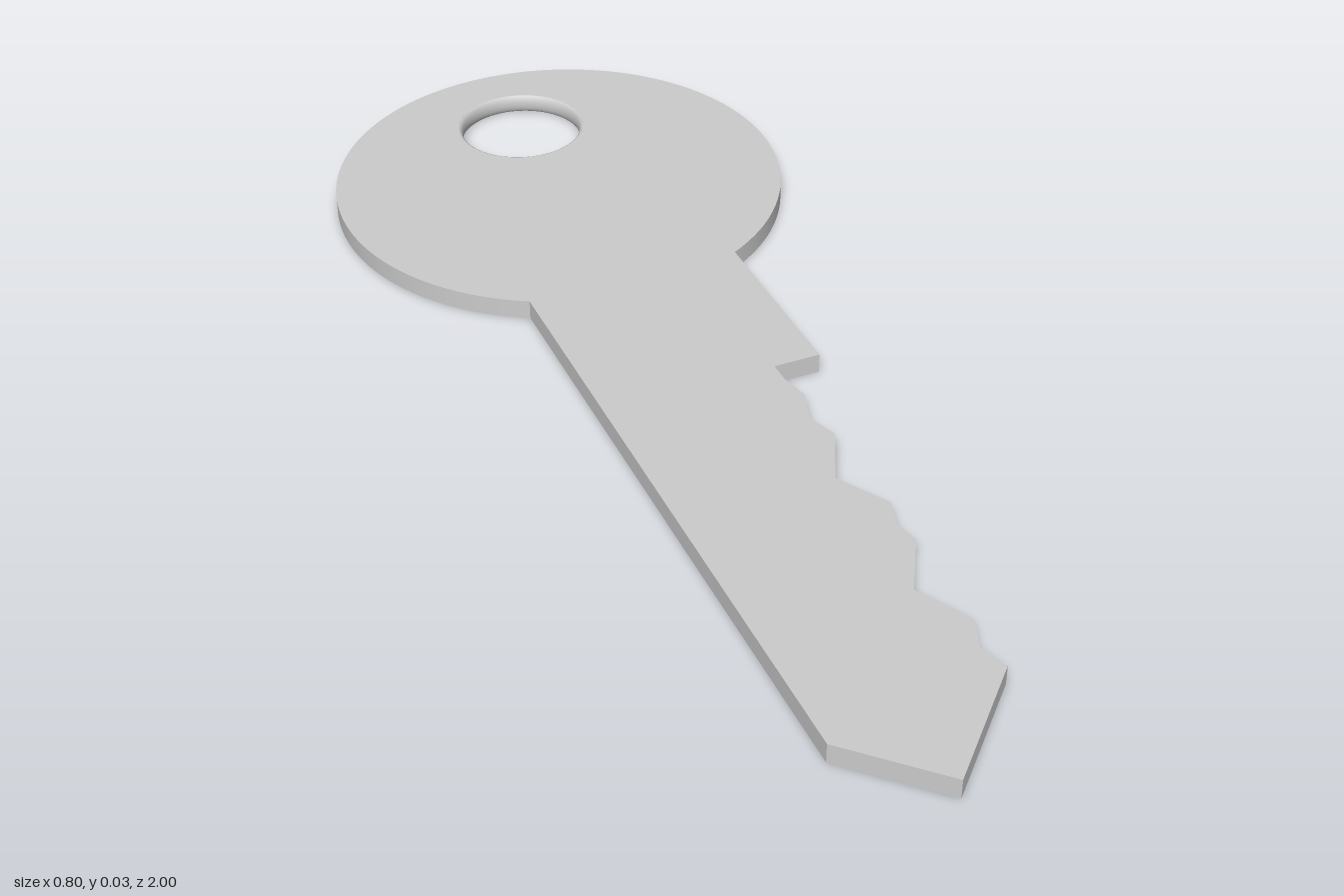
import * as THREE from 'three';
import { toCreasedNormals } from 'three/addons/utils/BufferGeometryUtils.js';

const THICKNESS = 0.034;
const BOW = { z: -0.6, r: 0.4 };
const HOLE = { z: -0.8, r: 0.116, inner: 0.108 };
const HALF_SHAFT = 0.188;

export function createModel() {
  const key = new THREE.Group();
  key.name = 'key';
  const material = new THREE.MeshStandardMaterial({ color: 0xcccccc });

  // Cut edge of the blade as [x, z], from the shoulder down to the tip and its left corner
  const cuts = [
    [0.188, 0.083], [0.108, 0.083], [0.108, 0.12], [0.119, 0.17], [0.1, 0.23],
    [0.118, 0.28], [0.07, 0.378], [0.12, 0.463], [0.105, 0.51], [0.114, 0.553],
    [0.06, 0.648], [0.108, 0.738], [0.087, 0.79], [0.103, 0.838],
    [-0.056, 1], [-HALF_SHAFT, 0.872],
  ];

  // Outline: round bow running into the blade, drawn with y = -z
  const dip = Math.acos(HALF_SHAFT / BOW.r);
  const outline = new THREE.Shape();
  outline.absarc(0, -BOW.z, BOW.r, -dip, Math.PI + dip, false);
  for (const [x, z] of cuts.reverse()) outline.lineTo(x, -z);
  outline.closePath();

  const hole = new THREE.Path();
  hole.absarc(0, -HOLE.z, HOLE.r, 0, Math.PI * 2, true);
  outline.holes.push(hole);

  // Flat plate, laid down on the ground
  const plate = new THREE.ExtrudeGeometry(outline, {
    depth: THICKNESS, bevelEnabled: false, curveSegments: 72,
  });
  plate.rotateX(-Math.PI / 2);
  const body = new THREE.Mesh(toCreasedNormals(plate, Math.PI / 6), material);
  body.name = 'keyBody';
  key.add(body);

  // Rounded lining of the ring hole, bulging inward at mid thickness
  const profile = [];
  for (let i = 0; i <= 8; i++) {
    const a = (i / 8) * Math.PI;
    profile.push(new THREE.Vector2(
      HOLE.r - (HOLE.r - HOLE.inner) * Math.sin(a),
      (THICKNESS / 2) * (1 + Math.cos(a)),
    ));
  }
  const rim = new THREE.Mesh(new THREE.LatheGeometry(profile, 72), material);
  rim.name = 'holeRim';
  rim.position.z = HOLE.z;
  key.add(rim);

  return key;
}
